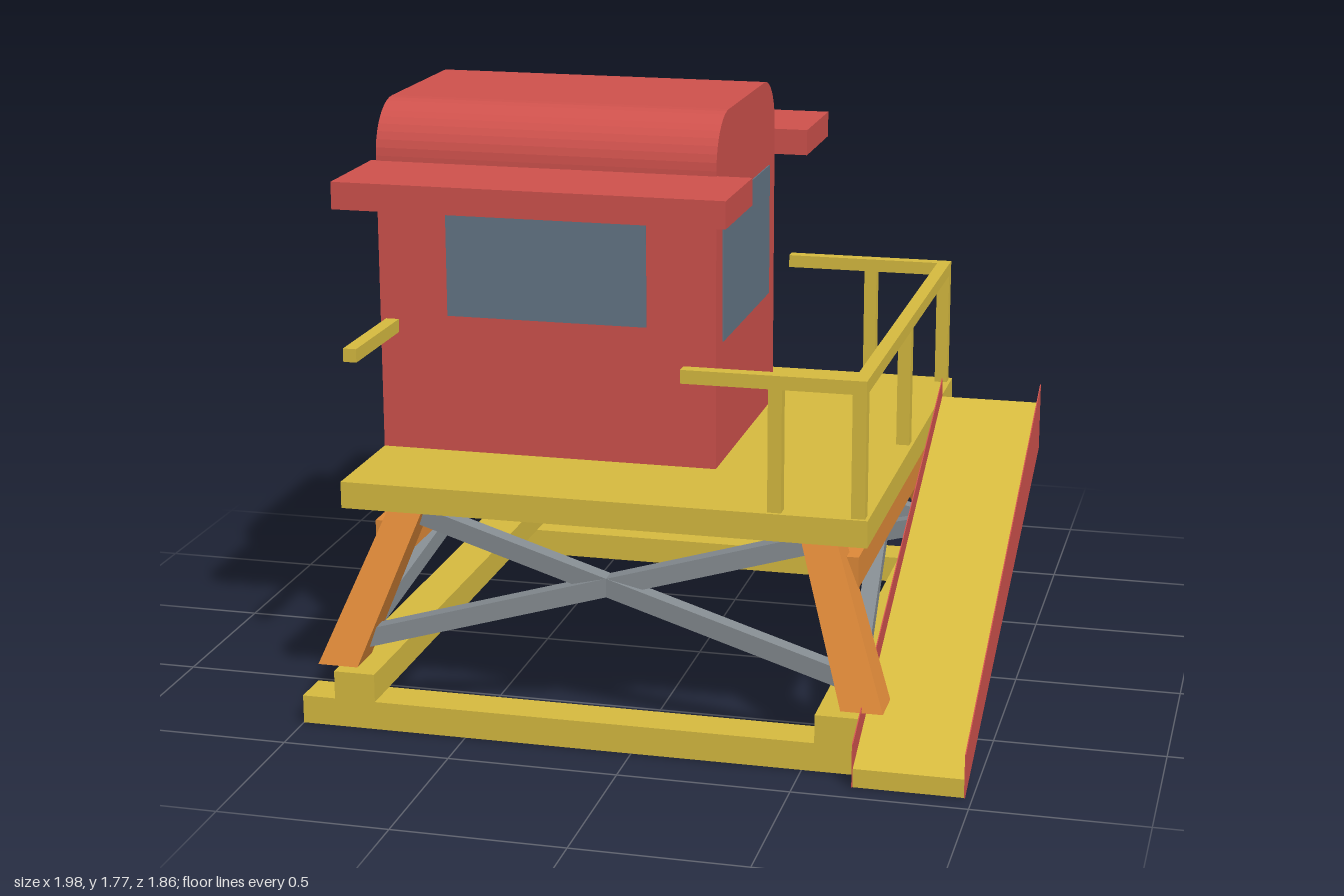
import * as THREE from 'three';

export function createModel() {
  const model = new THREE.Group();
  model.name = 'beachLookoutHut';
  const mat = (name, color) => {
    const m = new THREE.MeshStandardMaterial({ color });
    m.name = name;
    return m;
  };
  const red = mat('red', 0xd0524d);
  const yellow = mat('yellow', 0xd8bc40);
  const orange = mat('orange', 0xdf8a39);
  const grey = mat('steel grey', 0x868d92);
  const glass = mat('window blue', 0x647686);

  const add = (name, geometry, material) => {
    const mesh = new THREE.Mesh(geometry, material);
    mesh.name = name;
    model.add(mesh);
    return mesh;
  };
  // Box from its limits on each axis
  const box = (name, material, x0, x1, y0, y1, z0, z1) => {
    const mesh = add(name, new THREE.BoxGeometry(x1 - x0, y1 - y0, z1 - z0), material);
    mesh.position.set((x0 + x1) / 2, (y0 + y1) / 2, (z0 + z1) / 2);
    return mesh;
  };
  // Side profile of (z, y) points swept from x0 to x1
  const sweep = (name, material, shape, x0, x1) => {
    const geo = new THREE.ExtrudeGeometry(shape, { depth: x1 - x0, bevelEnabled: false, curveSegments: 5 });
    geo.rotateY(-Math.PI / 2); // extrusion now runs along -x, profile x along z
    geo.translate(x1, 0, 0);
    return add(name, geo, material);
  };
  const polygon = (pts) => new THREE.Shape(pts.map(([z, y]) => new THREE.Vector2(z, y)));

  const CX = -0.12, CZ = -0.042; // centre of the stand

  // Skids and cross sleepers
  for (const s of [-1, 1]) {
    const z = CZ + s * 0.822;
    box('skid', yellow, -1, 0.77, 0, 0.085, z - 0.062, z + 0.062);
    const x = CX + s * 0.718;
    box('sleeper', yellow, x - 0.062, x + 0.062, 0.085, 0.17, -0.927, 0.842);
  }

  // Splayed tapering legs
  for (const sx of [-1, 1]) for (const sz of [-1, 1]) {
    const geo = new THREE.BoxGeometry(1, 1, 1);
    const p = geo.attributes.position;
    for (let i = 0; i < p.count; i++) {
      const top = p.getY(i) > 0;
      const off = top ? 0.612 : 0.783, w = top ? 0.104 : 0.122;
      p.setXYZ(i, CX + sx * off + p.getX(i) * w, top ? 0.64 : 0.172, CZ + sz * off + p.getZ(i) * w);
    }
    geo.computeVertexNormals();
    add('leg', geo, orange);
  }

  // Side girts
  for (const s of [-1, 1]) {
    const x = CX + s * 0.68;
    box('girt', orange, x - 0.05, x + 0.05, 0.465, 0.56, -0.672, 0.59);
  }

  // Crossed braces on all four sides
  for (let side = 0; side < 4; side++) for (const s of [-1, 1]) {
    const a = new THREE.Vector3(-s * 0.73, 0.235, 0.75);
    const b = new THREE.Vector3(s * 0.62, 0.6, 0.62);
    const bar = new THREE.Mesh(new THREE.BoxGeometry(0.05, 0.055, a.distanceTo(b)), grey);
    bar.name = 'braceBar';
    bar.position.copy(a).add(b).multiplyScalar(0.5);
    bar.lookAt(b);
    const brace = new THREE.Group();
    brace.name = 'brace';
    brace.add(bar);
    brace.rotation.y = side * Math.PI / 2;
    brace.position.set(CX, 0, CZ);
    model.add(brace);
  }

  // Deck
  box('deck', yellow, -0.9, 0.66, 0.64, 0.72, -0.823, 0.737);

  // Cabin with rounded roof
  const zb = -0.44, zf = 0.357, top = 1.77, r = 0.155;
  const body = new THREE.Shape();
  body.moveTo(zb, 0.72);
  body.lineTo(zf, 0.72);
  body.lineTo(zf, top - r);
  body.absarc(zf - r, top - r, r, 0, Math.PI / 2, false);
  body.lineTo(zb + r, top);
  body.absarc(zb + r, top - r, r, Math.PI / 2, Math.PI, false);
  body.lineTo(zb, 0.72);
  sweep('cabin', red, body, -0.9, 0.135);
  box('rearRoom', orange, -0.885, -0.01, 0.72, 1.52, -0.69, -0.44);
  box('frontAwning', red, -0.917, 0.24, 1.52, 1.6, 0.35, 0.69);
  box('rearAwning', red, -0.917, 0.24, 1.52, 1.6, -0.78, -0.437);

  // Windows
  box('frontWindow', glass, -0.688, -0.075, 1.14, 1.457, zf - 0.002, zf + 0.004);
  box('sideWindow', glass, 0.133, 0.139, 1.09, 1.5, -0.355, 0.275);
  box('smallWindow', glass, -0.904, -0.898, 1.23, 1.37, -0.115, 0.035);

  // Railings
  const R0 = 1.08, R1 = 1.12, t = 0.04;
  box('sideRail', yellow, 0.61, 0.65, R0, R1, -0.805, 0.725);
  box('sidePost', yellow, 0.61, 0.65, 0.72, R0, -0.06, -0.02);
  for (const z of [-0.805, 0.685]) {
    box('endRail', yellow, 0.118, 0.61, R0, R1, z, z + t);
    for (const x of [0.37, 0.61]) box('railPost', yellow, x, x + t, 0.72, R0, z, z + t);
  }
  box('shortRail', yellow, -0.883, -0.843, R0, R1, 0.35, 0.725);

  // Ramp with thin side boards
  sweep('ramp', yellow, polygon([[0.927, 0], [0.927, 0.055], [-0.59, 0.72], [-0.59, 0.665]]), 0.662, 0.978);
  const board = [[0.93, 0], [0.93, 0.13], [-0.59, 0.78], [-0.59, 0.57]];
  sweep('rampBoard', red, polygon(board), 0.66, 0.663);
  sweep('rampBoard', red, polygon(board), 0.977, 0.98);

  return model;
}
